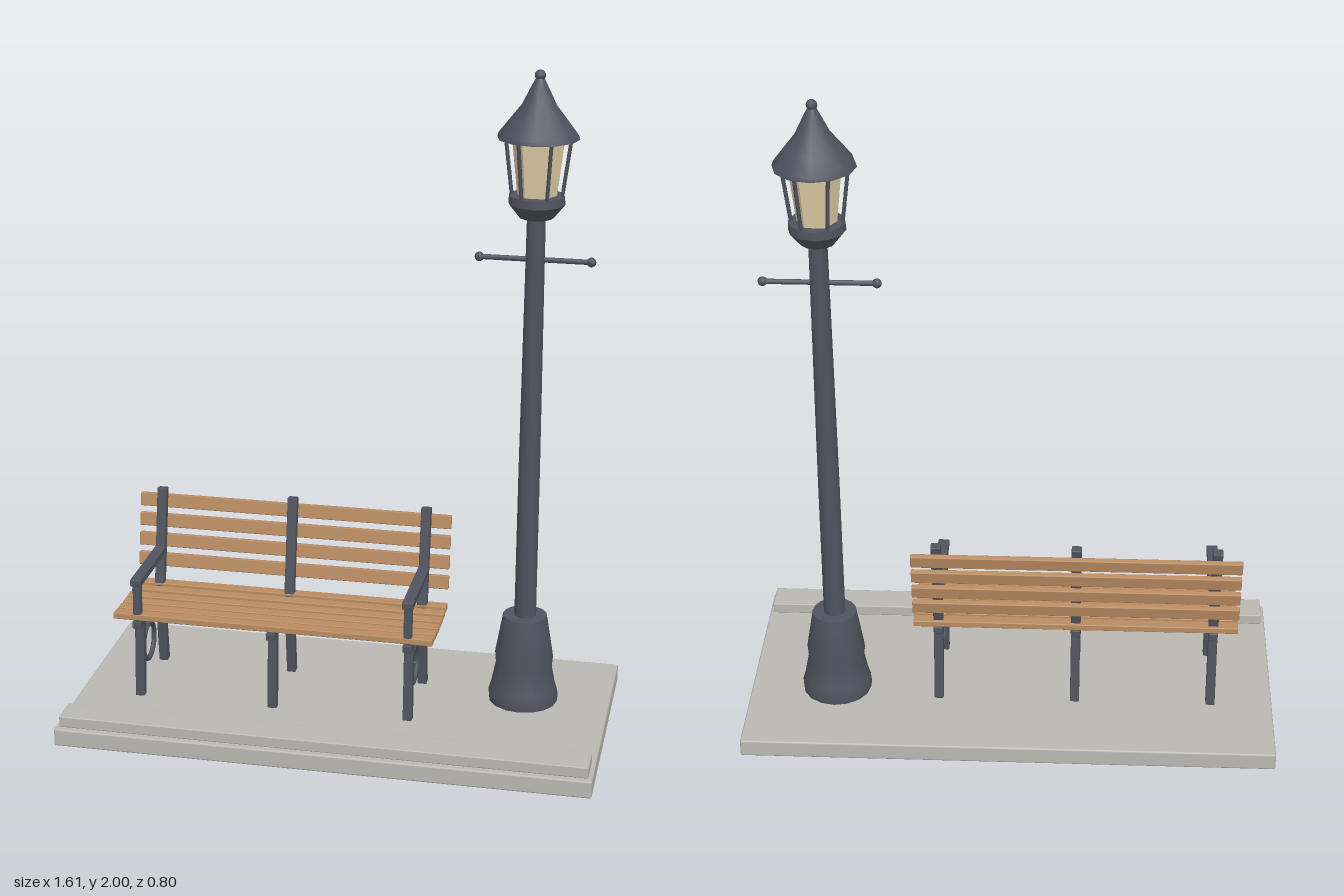
import * as THREE from 'three';
import { RoundedBoxGeometry } from 'three/addons/geometries/RoundedBoxGeometry.js';
import { toCreasedNormals } from 'three/addons/utils/BufferGeometryUtils.js';

const material = (name, color) => {
  const m = new THREE.MeshStandardMaterial({ color });
  m.name = name;
  return m;
};

export function createModel() {
  const stone = material('stone', 0xb9b7b1);
  const iron = material('iron', 0x50535e);
  const wood = material('wood', 0xb98c62);
  const glass = material('glass', 0xdccba4);
  const model = new THREE.Group();
  model.name = 'parkBenchAndLamp';

  const group = (name, parent = model) => {
    const g = new THREE.Group();
    g.name = name;
    parent.add(g);
    return g;
  };
  const add = (parent, name, geometry, mat, x = 0, y = 0, z = 0) => {
    const mesh = new THREE.Mesh(geometry, mat);
    mesh.name = name;
    mesh.position.set(x, y, z);
    parent.add(mesh);
    return mesh;
  };
  const box = (parent, name, mat, size, pos, bevel = 0.003) =>
    add(parent, name, new RoundedBoxGeometry(...size, 1, bevel), mat, ...pos);
  // Square bar between two [y, z] points
  const bar = (parent, name, x, [y1, z1], [y2, z2], w, d) => {
    const mesh = box(parent, name, iron, [w, Math.hypot(y2 - y1, z2 - z1), d], [x, (y1 + y2) / 2, (z1 + z2) / 2]);
    mesh.rotation.x = Math.atan2(z2 - z1, y2 - y1);
    return mesh;
  };
  const lathe = (parent, name, mat, points, sides) => {
    const g = new THREE.LatheGeometry(points.map(p => new THREE.Vector2(...p)), sides);
    return add(parent, name, toCreasedNormals(g, 0.7), mat);
  };

  // Paving slab and kerb
  box(model, 'pavingSlab', stone, [1.61, 0.055, 0.795], [0, 0.0275, 0], 0.006);
  box(model, 'kerb', stone, [1.585, 0.035, 0.095], [0, 0.0725, 0.333], 0.004);

  // Bench slats: seat, then backrest fixed behind the leaning uprights
  const bench = group('bench');
  const cx = -0.197, length = 0.985;
  const seatY = [0.322, 0.319, 0.317, 0.317, 0.319, 0.322];
  seatY.forEach((y, i) =>
    box(bench, 'seatSlat', wood, [length, 0.02, 0.037], [cx, y, 0.121 - i * 0.0492]));
  const uprightZ = y => -0.115 - (y - 0.3) * 0.19;
  for (let i = 0; i < 4; i++) {
    const y = 0.58 - i * 0.0617;
    const slat = box(bench, 'backSlat', wood, [length, 0.042, 0.018], [cx, y, uprightZ(y) - 0.021]);
    slat.rotation.x = -0.19;
  }

  // Iron frames, the outer two with armrests and scroll rings
  [-0.615, -0.198, 0.22].forEach((x, i) => {
    const frame = group('benchFrame', bench);
    box(frame, 'seatRail', iron, [0.028, 0.024, 0.285], [x, 0.297, 0.0]);
    bar(frame, 'frontLeg', x, [0.055, 0.117], [0.295, 0.102], 0.028, 0.028);
    bar(frame, 'rearLeg', x, [0.055, -0.145], [0.3, -0.118], 0.028, 0.028);
    bar(frame, 'backUpright', x, [0.285, uprightZ(0.285)], [0.628, uprightZ(0.628)], 0.03, 0.026);
    if (i === 1) return;
    box(frame, 'armrest', iron, [0.034, 0.022, 0.28], [x, 0.436, 0.003]);
    bar(frame, 'armPost', x, [0.295, 0.128], [0.43, 0.123], 0.024, 0.024);
    const ring = add(frame, 'scrollRing', new THREE.TorusGeometry(0.057, 0.008, 8, 24), iron, x, 0.193, 0.02);
    ring.rotation.y = Math.PI / 2;
  });

  // Lamp post
  const lamp = group('streetLamp');
  lamp.position.set(0.54, 0, -0.1);
  lathe(lamp, 'lampBase', iron, [[0, 0.055], [0.105, 0.055], [0.107, 0.078], [0.099, 0.105],
    [0.086, 0.17], [0.089, 0.205], [0.067, 0.335], [0, 0.335]], 16);
  lathe(lamp, 'pole', iron, [[0.033, 0.33], [0.032, 0.8], [0.027, 1.58]], 12);

  // Ladder bar with ball ends
  const crossbar = add(lamp, 'crossbar', new THREE.CylinderGeometry(0.008, 0.008, 0.32, 8), iron, 0, 1.45, 0);
  crossbar.rotation.z = Math.PI / 2;
  for (const s of [-1, 1])
    add(lamp, 'crossbarBall', new THREE.SphereGeometry(0.014, 10, 8), iron, s * 0.162, 1.45, 0);

  // Lantern: collar, six-sided glass, corner bars, roof and finial
  lathe(lamp, 'lanternCollar', iron, [[0, 1.575], [0.05, 1.575], [0.082, 1.615], [0.08, 1.64], [0, 1.64]], 12);
  const pane = new THREE.CylinderGeometry(0.076, 0.057, 0.17, 6).toNonIndexed();
  pane.computeVertexNormals();
  add(lamp, 'lanternGlass', pane, glass, 0, 1.723, 0).rotation.y = Math.PI / 6;
  for (let i = 0; i < 6; i++) {
    const corner = group('lanternCorner', lamp);
    corner.rotation.y = i * Math.PI / 3;
    const post = add(corner, 'lanternBar', new THREE.CylinderGeometry(0.006, 0.006, 0.175, 6), iron, 0.083, 1.722, 0);
    post.rotation.z = -0.125;
  }
  lathe(lamp, 'lanternRoof', iron, [[0, 1.805], [0.118, 1.805], [0.114, 1.818], [0.08, 1.862],
    [0.05, 1.9], [0.028, 1.945], [0.01, 1.98], [0, 1.98]], 12);
  add(lamp, 'finial', new THREE.SphereGeometry(0.016, 12, 8), iron, 0, 1.984, 0);

  return model;
}
